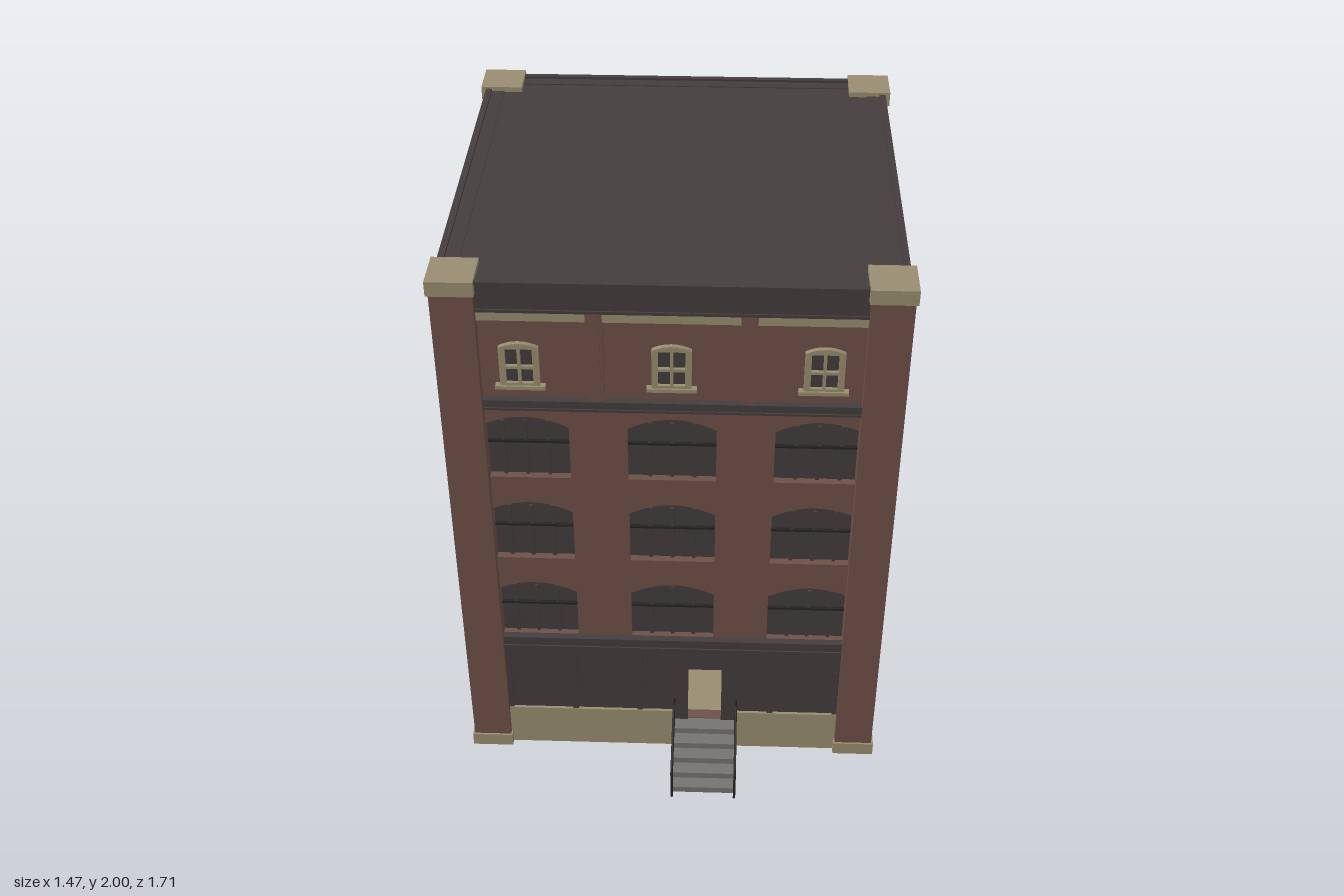
import * as THREE from 'three';

const mat = (name, color) => {
  const m = new THREE.MeshStandardMaterial({ color });
  m.name = name;
  return m;
};

export function createModel() {
  const brick = mat('brick', 0x6d5047);
  const stone = mat('sandstone', 0x998d70);
  const dark = mat('dark panelling', 0x443d3d);
  const black = mat('black iron', 0x242222);
  const grey = mat('grey concrete', 0x757371);

  const root = new THREE.Group();
  root.name = 'building';
  const block = new THREE.Group();
  block.name = 'block';
  block.position.z = -0.1225;
  root.add(block);

  const add = (parent, name, geo, material) => {
    const m = new THREE.Mesh(geo, material);
    m.name = name;
    parent.add(m);
    return m;
  };
  // box given by its limits on each axis
  const box = (parent, name, material, x0, x1, y0, y1, z0, z1) => {
    const m = add(parent, name, new THREE.BoxGeometry(x1 - x0, y1 - y0, z1 - z0), material);
    m.position.set((x0 + x1) / 2, (y0 + y1) / 2, (z0 + z1) / 2);
    return m;
  };
  // flat shape given thickness from z0 to z1
  const plate = (parent, name, material, shape, z0, z1) => {
    const geo = new THREE.ExtrudeGeometry(shape, { depth: z1 - z0, bevelEnabled: false, curveSegments: 10 });
    const m = add(parent, name, geo, material);
    m.position.z = z0;
    return m;
  };
  const poly = (pts) => new THREE.Shape(pts.map(([x, y]) => new THREE.Vector2(x, y)));
  const rect = (x0, x1, y0, y1) => poly([[x0, y0], [x1, y0], [x1, y1], [x0, y1]]);
  // opening with a shallow curved head
  const arch = (cx, hw, y0, spring, apex) => {
    const s = new THREE.Shape();
    s.moveTo(cx - hw, y0);
    s.lineTo(cx + hw, y0);
    s.lineTo(cx + hw, spring);
    s.quadraticCurveTo(cx, 2 * apex - spring, cx - hw, spring);
    s.closePath();
    return s;
  };

  const columns = [-0.47, 0, 0.47];
  const rows = [0.53, 0.885, 1.235];
  const W = 0.69;   // outer face of the brick walls
  const IN = 0.65;  // inner face
  const E = 0.66;   // half length of walls, ending inside the corner piers
  const door = [0.055, 0.175, 0.125, 0.38];

  for (let side = 0; side < 4; side++) {
    const front = side === 0;
    const g = new THREE.Group();
    g.name = ['frontSide', 'leftSide', 'backSide', 'rightSide'][side];
    g.rotation.y = side * Math.PI / 2;
    block.add(g);

    // brick wall, pierced on the front
    const wall = rect(-E, E, 0, 1.95);
    if (front) {
      wall.holes.push(rect(...door));
      for (const x of columns) for (const y of rows) wall.holes.push(arch(x, 0.142, y, y + 0.205, y + 0.245));
    }
    plate(g, 'brickWall', brick, wall, IN, W);

    // stone plinth and panelled ground floor, cut round the entrance
    if (front) {
      plate(g, 'plinth', stone, rect(-E, 0, 0, 0.175), W, 0.708);
      plate(g, 'plinth', stone, rect(0.23, E, 0, 0.175), W, 0.708);
      plate(g, 'groundPanels', dark, poly([[-E, 0.175], [0, 0.175], [0, 0.12], [0.055, 0.12], [0.055, 0.38],
        [0.175, 0.38], [0.175, 0.12], [0.23, 0.12], [0.23, 0.175], [E, 0.175], [E, 0.49], [-E, 0.49]]), W, 0.698);
    } else {
      box(g, 'plinth', stone, -E, E, 0, 0.175, W, 0.708);
      box(g, 'groundPanels', dark, -E, E, 0.175, 0.49, W, 0.698);
    }
    for (let i = 0; i < 6; i++) {
      if (front && i === 3) continue;
      const x = -0.585 + i * 0.234;
      box(g, 'panelStrip', dark, x - 0.01, x + 0.01, 0.175, 0.49, W, 0.705);
    }

    // string courses and parapet
    for (const [y0, y1] of [[0.485, 0.535], [1.52, 1.56]]) {
      box(g, 'stringCourse', dark, -E, E, y0, y1 - 0.008, W, 0.707);
      box(g, 'stringCourseLip', dark, -E, E, y1 - 0.01, y1, W, 0.715);
      box(g, 'stringCourseFoot', dark, -E, E, y0, y0 + 0.008, W, 0.712);
    }
    box(g, 'parapet', dark, -E, E, 1.89, 1.985, IN, 0.708);
    box(g, 'parapetFoot', dark, -E, E, 1.885, 1.895, W, 0.713);
    box(g, 'coping', dark, -E, E, 1.98, 1.993, 0.695, 0.716);

    // corner pier, hollow on the inner side
    const a = 0.592;
    const pier = (name, material, lo, hi, y0, y1) => {
      const m = plate(g, name, material, poly([[lo, IN], [IN, IN], [IN, lo], [hi, lo], [hi, hi], [lo, hi]]
        .map(([x, z]) => [x, -z]).reverse()), 0, y1 - y0);
      m.rotation.x = -Math.PI / 2;
      m.position.set(0, y0, 0);
    };
    pier('cornerPier', brick, a, 0.725, 0.002, 1.955);
    pier('pierBase', stone, a - 0.005, 0.732, 0, 0.052);
    box(g, 'pierCap', stone, 0.587, 0.7325, 1.95, 2, 0.587, 0.7325);

    if (!front) continue;

    // arched windows
    for (const x of columns) for (const y of rows) {
      plate(g, 'archedPane', dark, arch(x, 0.142, y, y + 0.205, y + 0.245), 0.655, 0.664);
      box(g, 'transom', black, x - 0.142, x + 0.142, y + 0.131, y + 0.138, 0.664, 0.676);
      for (const dx of [-0.072, 0, 0.072]) {
        box(g, 'mullion', dark, x + dx - 0.006, x + dx + 0.006, y, y + 0.215, 0.664, 0.672);
      }
    }

    // small top windows with stone surrounds
    for (const x of columns) {
      const frame = arch(x, 0.062, 1.612, 1.752, 1.768);
      for (const sx of [-1, 1]) {
        const [p, q] = [x + sx * 0.005, x + sx * 0.042].sort((m, n) => m - n);
        frame.holes.push(rect(p, q, 1.622, 1.675), rect(p, q, 1.685, 1.748));
      }
      plate(g, 'topWindowFrame', stone, frame, W, 0.706);
      box(g, 'topWindowPane', dark, x - 0.048, x + 0.048, 1.615, 1.752, W, 0.694);
      box(g, 'topWindowSill', stone, x - 0.078, x + 0.078, 1.6, 1.613, W, 0.712);
    }

    // frieze and paired pilasters
    box(g, 'frieze', stone, -E, E, 1.848, 1.885, W, 0.7);
    for (const x of [-0.236, 0.236]) {
      box(g, 'pilaster', brick, x - 0.026, x + 0.026, 1.56, 1.886, W, 0.704);
      box(g, 'pilasterFace', brick, x - 0.016, x + 0.016, 1.56, 1.886, 0.704, 0.71);
    }
  }

  // roof deck and raised floor
  box(block, 'roofDeck', dark, -0.7, 0.7, 1.955, 1.982, -0.7, 0.7);
  box(block, 'floor', stone, -IN, IN, 0.118, 0.125, -IN, IN);

  // entrance steps
  const stairs = new THREE.Group();
  stairs.name = 'entranceStairs';
  root.add(stairs);
  [0.81, 0.765, 0.718, 0.67, 0.622].forEach((z, i) =>
    box(stairs, 'step', grey, 0.008, 0.226, i * 0.025, (i + 1) * 0.025, 0.57, z));

  // iron railings
  const bar = (name, p, q, r) => {
    const a = new THREE.Vector3(...p), b = new THREE.Vector3(...q);
    const m = add(stairs, name, new THREE.CylinderGeometry(r, r, a.distanceTo(b), 6), black);
    m.position.copy(a).add(b).multiplyScalar(0.5);
    m.quaternion.setFromUnitVectors(new THREE.Vector3(0, 1, 0), b.sub(a).normalize());
  };
  for (const x of [0.006, 0.228]) {
    const top = (z) => 0.14 + (0.83 - z) * 0.43;
    const low = (z) => 0.04 + (0.83 - z) * 0.43;
    bar('handrail', [x, top(0.83), 0.83], [x, top(0.61), 0.61], 0.005);
    bar('handrailEnd', [x, 0.14, 0.855], [x, 0.14, 0.828], 0.005);
    bar('handrailReturn', [x, top(0.61), 0.612], [x, top(0.61), 0.583], 0.005);
    bar('lowerRail', [x, low(0.83), 0.83], [x, low(0.61), 0.61], 0.003);
    bar('railPost', [x, 0, 0.83], [x, 0.14, 0.83], 0.005);
    bar('railPost', [x, 0.11, 0.61], [x, top(0.61), 0.61], 0.005);
    for (let i = 1; i < 9; i++) {
      const z = 0.83 - i * 0.0244;
      bar('baluster', [x, low(z), z], [x, top(z), z], 0.002);
    }
  }
  return root;
}
